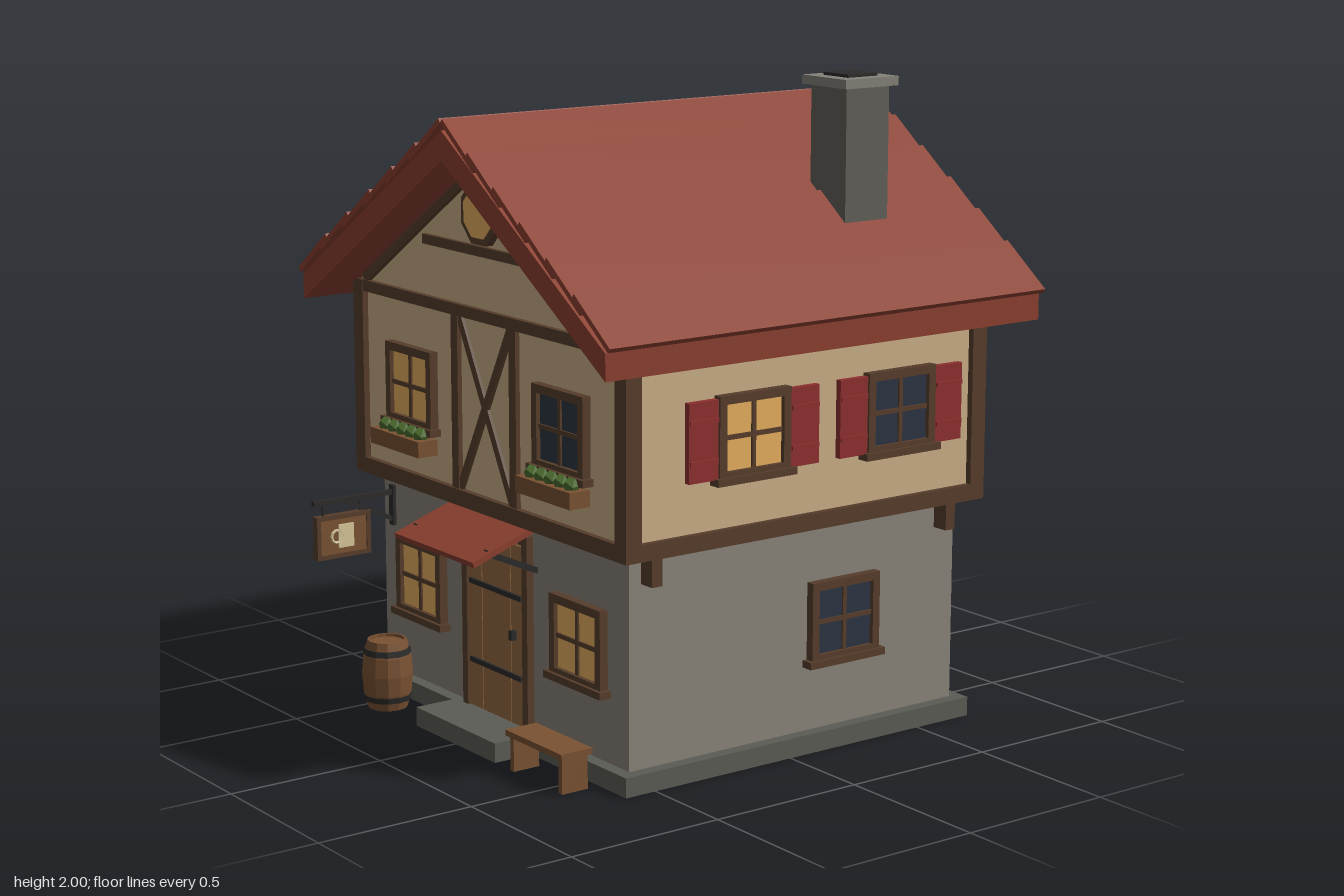
import * as THREE from 'three';

const mat = (color) => new THREE.MeshStandardMaterial({ color, flatShading: true });
const M = {
  stone: mat(0x8a847a), plinth: mat(0x5c5c55), plaster: mat(0xccb088), timber: mat(0x573d2b),
  roof: mat(0x8c4030), lit: mat(0xe8b060), dark: mat(0x2d3542), red: mat(0x8f3030), wood: mat(0x7a5233),
  door: mat(0x946a42), iron: mat(0x2c2b2a), cap: mat(0x85827a), chimney: mat(0x62605a), leaf: mat(0x4a6b2c),
  cream: mat(0xd8c79a), gap: mat(0x4a3222),
};
const ZC = -0.05; // centre of the house in z

function add(parent, name, geo, m, x = 0, y = 0, z = 0) {
  const mesh = new THREE.Mesh(geo, m);
  mesh.name = name;
  mesh.position.set(x, y, z);
  parent.add(mesh);
  return mesh;
}
const box = (p, name, m, w, h, d, x, y, z) => add(p, name, new THREE.BoxGeometry(w, h, d), m, x, y, z);
function group(parent, name, x = 0, y = 0, z = 0, ry = 0) {
  const g = new THREE.Group();
  g.name = name;
  g.position.set(x, y, z);
  g.rotation.y = ry;
  parent.add(g);
  return g;
}
// Straight beam in the xy plane between two points
function beam(p, name, m, x1, y1, x2, y2, t, d, z) {
  const b = box(p, name, m, Math.hypot(x2 - x1, y2 - y1), t, d, (x1 + x2) / 2, (y1 + y2) / 2, z);
  b.rotation.z = Math.atan2(y2 - y1, x2 - x1);
  return b;
}
function prism(p, name, m, pts, depth, z) {
  const s = new THREE.Shape(pts.map(([x, y]) => new THREE.Vector2(x, y)));
  return add(p, name, new THREE.ExtrudeGeometry(s, { depth, bevelEnabled: false }), m, 0, 0, z);
}

// Cross-barred window facing local +z, with sill and optional shutters
function windowUnit(parent, x, y, z, ry, lit, shutters = false) {
  const g = group(parent, 'window', x, y, z, ry), w = 0.26, h = 0.25, f = 0.026;
  box(g, 'glass', lit ? M.lit : M.dark, w - f, h - f, 0.02, 0, 0, 0.004);
  for (const s of [-1, 1]) {
    box(g, 'frameSide', M.timber, f, h, 0.04, s * (w - f) / 2, 0, 0.008);
    box(g, 'frameRail', M.timber, w, f, 0.04, 0, s * (h - f) / 2, 0.008);
    if (shutters) {
      box(g, 'shutter', M.red, 0.105, 0.235, 0.02, s * 0.185, 0, 0.014);
      for (const dy of [-0.06, 0.06]) box(g, 'shutterBatten', M.red, 0.1, 0.014, 0.008, s * 0.185, dy, 0.026);
    }
  }
  box(g, 'mullion', M.timber, 0.014, h - f, 0.024, 0, 0, 0.008);
  box(g, 'transom', M.timber, w - f, 0.014, 0.024, 0, 0, 0.008);
  box(g, 'sill', M.timber, w + 0.03, 0.022, 0.055, 0, -h / 2, 0.012);
  return g;
}

function walls(root) {
  box(root, 'plinth', M.plinth, 1.41, 0.06, 1.31, 0, 0.03, ZC);
  box(root, 'doorStep', M.plinth, 0.44, 0.06, 0.14, 0, 0.03, 0.665);
  box(root, 'groundFloor', M.stone, 1.33, 0.67, 1.23, 0, 0.385, ZC);
  prism(root, 'upperFloor', M.plaster,
    [[-0.715, 0.72], [0.715, 0.72], [0.715, 1.335], [0, 1.79], [-0.715, 1.335]], 1.31, ZC - 0.655);
  box(root, 'jettyBeam', M.timber, 1.47, 0.05, 1.35, 0, 0.725, ZC);
  for (const sx of [-1, 1]) for (const sz of [-1, 1]) {
    box(root, 'cornerPost', M.timber, 0.055, 0.58, 0.055, sx * 0.7075, 1.03, ZC + sz * 0.6475);
    box(root, 'corbel', M.timber, 0.055, 0.085, 0.036, sx * 0.692, 0.657, ZC + sz * 0.555);
  }
  for (const s of [-1, 1]) box(root, 'tieBeam', M.timber, 1.42, 0.036, 0.04, 0, 1.303, ZC + s * 0.653);
  box(root, 'backGablePost', M.timber, 0.036, 0.45, 0.03, 0, 1.54, ZC - 0.655);
  // Front framing
  for (const s of [-1, 1]) {
    box(root, 'frontPost', M.timber, 0.036, 0.54, 0.03, s * 0.157, 1.02, 0.605);
    beam(root, 'crossBrace', M.timber, -0.14, 1.02 - s * 0.265, 0.14, 1.02 + s * 0.265, 0.026, 0.024, 0.604 + s * 0.001);
    beam(root, 'gableRafter', M.timber, s * 0.68, 1.325, 0, 1.765, 0.034, 0.03, 0.605);
  }
  box(root, 'collarBeam', M.timber, 0.66, 0.03, 0.03, 0, 1.495, 0.605);
  // Octagonal gable window
  for (const [name, m, r, d] of [['gableWindowFrame', M.timber, 0.1, 0.05], ['gableWindowGlass', M.lit, 0.078, 0.06]]) {
    const o = add(root, name, new THREE.CylinderGeometry(r, r, d, 8), m, 0, 1.61, 0.605);
    o.rotation.set(Math.PI / 2, Math.PI / 8, 0, 'XYZ');
  }
}

function windows(root) {
  const q = Math.PI / 2;
  for (const s of [-1, 1]) {
    windowUnit(root, s * 0.43, 0.395, 0.565, 0, true);
    windowUnit(root, s * 0.405, 1.025, 0.605, 0, s < 0);
    // Flower box
    const f = group(root, 'flowerBox', s * 0.405, 0.855, 0.65);
    box(f, 'planter', M.wood, 0.28, 0.05, 0.07, 0, 0, 0);
    for (let i = 0; i < 5; i++)
      add(f, 'plant', new THREE.IcosahedronGeometry(0.027, 0), M.leaf, -0.1 + i * 0.05, 0.035, 0);
    // Side walls repeat each other, turned half round
    windowUnit(root, s * 0.715, 1.02, ZC + s * 0.22, s * q, true, true);
    windowUnit(root, s * 0.715, 1.02, ZC - s * 0.335, s * q, false, true);
    windowUnit(root, s * 0.665, 0.395, ZC - s * 0.17, s * q, false);
  }
  windowUnit(root, -0.34, 1.025, ZC - 0.655, Math.PI, true);
  windowUnit(root, 0.33, 0.395, ZC - 0.615, Math.PI, false);
}

function roof(root) {
  const g = group(root, 'roof');
  prism(g, 'roofSlab', M.roof,
    [[0, 1.775], [0.82, 1.255], [0.82, 1.335], [0, 1.865], [-0.82, 1.335], [-0.82, 1.255]], 1.61, ZC - 0.805);
  // Overlapping courses, each tipped a little steeper than the slope
  for (const s of [-1, 1]) for (let i = 0; i < 6; i++) {
    const x = 0.67 - i * 0.133, y = 1.473 + i * 0.084;
    beam(g, 'tileCourse', M.roof, s * (x + 0.17), y - 0.128, s * x, y, 0.016, 1.615, ZC);
  }
  const c = group(root, 'chimney', 0.4425, 0, -0.417);
  box(c, 'stack', M.chimney, 0.165, 0.44, 0.165, 0, 1.75, 0);
  box(c, 'chimneyCap', M.cap, 0.205, 0.028, 0.205, 0, 1.977, 0);
  box(c, 'flue', M.iron, 0.115, 0.03, 0.115, 0, 1.985, 0);
}

function entrance(root) {
  const d = group(root, 'door', 0, 0, 0.565);
  for (let i = -1; i <= 1; i++) box(d, 'plank', M.door, i ? 0.078 : 0.154, 0.56, 0.022, i * 0.119, 0.34, 0.004);
  box(d, 'plankGaps', M.gap, 0.31, 0.56, 0.012, 0, 0.34, 0.004);
  for (const s of [-1, 1]) {
    box(d, 'doorPost', M.timber, 0.028, 0.6, 0.04, s * 0.165, 0.36, 0.004);
    // Canopy bracket
    const b = box(d, 'canopyBracket', M.iron, 0.018, 0.018, 0.2, s * 0.195, 0.6, 0.09);
    b.rotation.x = -0.42;
  }
  box(d, 'doorHead', M.timber, 0.358, 0.03, 0.04, 0, 0.645, 0.004);
  for (const y of [0.21, 0.46]) box(d, 'strap', M.iron, 0.28, 0.016, 0.01, 0, y, 0.018);
  box(d, 'handle', M.iron, 0.016, 0.03, 0.025, 0.1, 0.34, 0.02);
  const c = box(d, 'canopy', M.roof, 0.435, 0.018, 0.25, 0, 0.657, 0.118);
  c.rotation.x = 0.335;
}

function yard(root) {
  // Barrel
  const b = group(root, 'barrel', -0.445, 0, 0.7);
  const prof = [[0, 0], [0.062, 0], [0.075, 0.05], [0.08, 0.11], [0.075, 0.17], [0.062, 0.22], [0.056, 0.22], [0.056, 0.21], [0, 0.21]];
  add(b, 'staves', new THREE.LatheGeometry(prof.map(([x, y]) => new THREE.Vector2(x, y)), 12), M.wood);
  for (const y of [0.035, 0.185])
    add(b, 'hoop', new THREE.CylinderGeometry(y > 0.1 ? 0.073 : 0.076, y > 0.1 ? 0.076 : 0.073, 0.018, 12), M.iron, 0, y, 0);
  // Bench
  const n = group(root, 'bench', 0.437, 0, 0.69);
  box(n, 'seat', M.wood, 0.29, 0.018, 0.11, 0, 0.116, 0);
  for (const s of [-1, 1]) box(n, 'benchLeg', M.wood, 0.018, 0.11, 0.09, s * 0.125, 0.055, 0);
  // Hanging sign with a plain tankard on both faces
  const h = group(root, 'hangingSign', -0.61, 0, 0);
  box(h, 'signArm', M.iron, 0.016, 0.016, 0.3, 0, 0.643, 0.71);
  const brace = box(h, 'signBrace', M.iron, 0.014, 0.014, 0.2, 0, 0.595, 0.655);
  brace.rotation.x = -0.45;
  box(h, 'wallPlate', M.iron, 0.025, 0.13, 0.012, 0, 0.6, 0.57);
  for (const z of [0.69, 0.825]) box(h, 'hanger', M.iron, 0.006, 0.05, 0.006, 0, 0.62, z);
  box(h, 'signBoard', M.wood, 0.018, 0.12, 0.175, 0, 0.53, 0.757);
  for (const s of [-1, 1]) {
    box(h, 'signRail', M.timber, 0.026, 0.014, 0.195, 0, 0.53 + s * 0.063, 0.757);
    box(h, 'signStile', M.timber, 0.026, 0.13, 0.014, 0, 0.53, 0.757 + s * 0.09);
    box(h, 'tankard', M.cream, 0.008, 0.075, 0.055, s * 0.011, 0.53, 0.75);
    const t = add(h, 'tankardHandle', new THREE.TorusGeometry(0.02, 0.005, 5, 10), M.cream, s * 0.011, 0.53, 0.782);
    t.rotation.y = Math.PI / 2;
  }
}

export function createModel() {
  const root = new THREE.Group();
  root.name = 'timberFramedInn';
  for (const part of [walls, windows, roof, entrance, yard]) part(root);
  return root;
}
